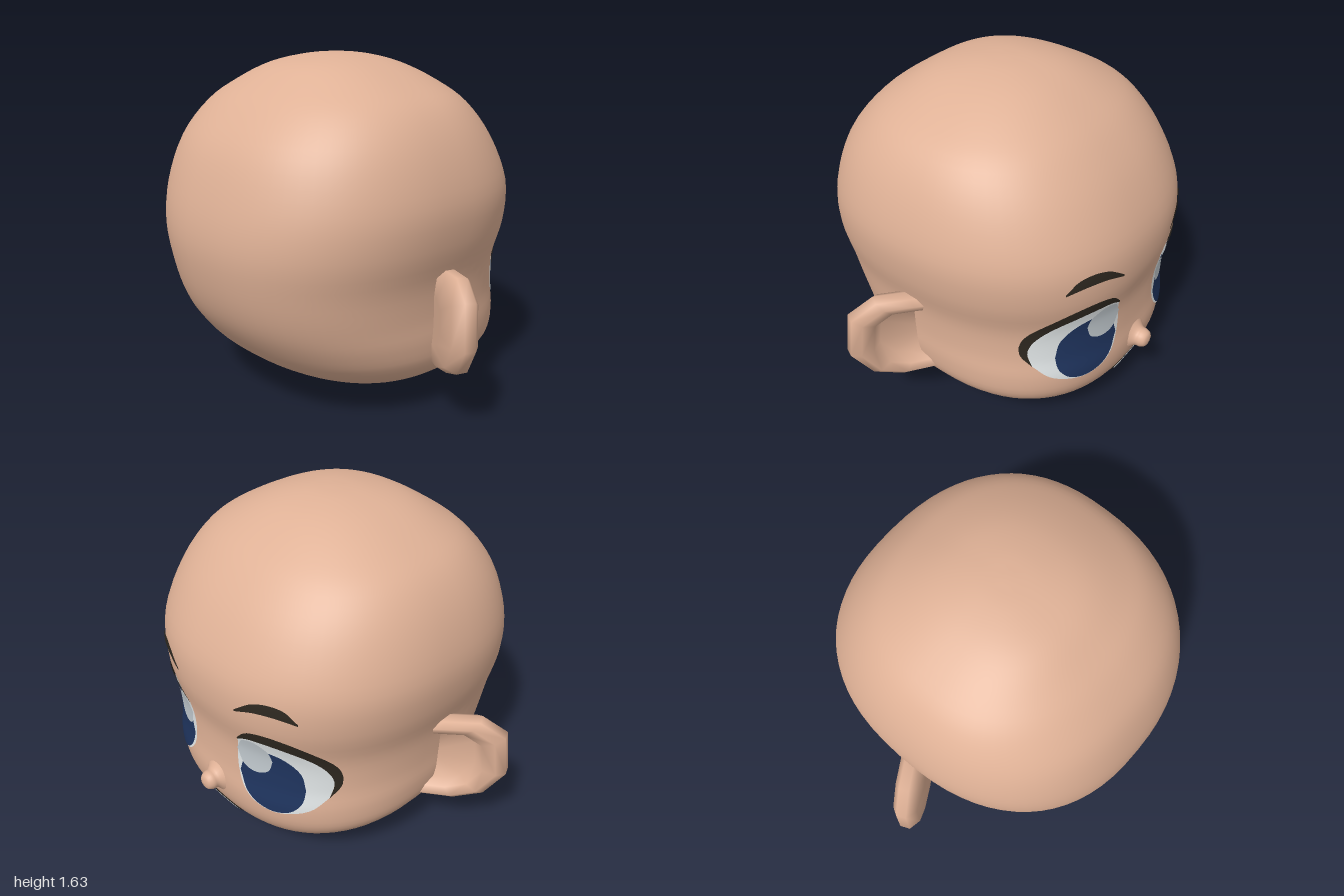
import * as THREE from 'three';
import { mergeVertices } from 'three/addons/utils/BufferGeometryUtils.js';

const V = (x, y, z = 0) => new THREE.Vector3(x, y, z);

// Head cross-sections from chin to crown: height, half width, face z, nape z
const SECTIONS = [
  [0, 0, -0.17, -0.17], [0.012, 0.17, -0.38, 0], [0.03, 0.28, -0.47, 0.12],
  [0.07, 0.44, -0.56, 0.26], [0.15, 0.58, -0.68, 0.43], [0.25, 0.675, -0.745, 0.58],
  [0.37, 0.7, -0.765, 0.69], [0.5, 0.7, -0.752, 0.77], [0.66, 0.715, -0.752, 0.82],
  [0.84, 0.76, -0.785, 0.84], [1.03, 0.77, -0.77, 0.81], [1.24, 0.71, -0.67, 0.73],
  [1.4, 0.61, -0.54, 0.6], [1.5, 0.47, -0.41, 0.47], [1.58, 0.3, -0.26, 0.33],
  [1.62, 0.14, -0.11, 0.16], [1.63, 0, 0.02, 0.02],
];
const POWER = 2.35; // squareness of the horizontal sections
const heightCurve = new THREE.CatmullRomCurve3(SECTIONS.map((s) => V(0, s[0])), false, 'catmullrom');
const sizeCurve = new THREE.CatmullRomCurve3(SECTIONS.map((s) => V(s[1], s[2], s[3])), false, 'catmullrom');

function section(t) {
  const p = sizeCurve.getPoint(t);
  return { y: heightCurve.getPoint(t).y, w: Math.max(p.x, 0), mid: (p.y + p.z) / 2, half: (p.z - p.y) / 2 };
}

// Point on the face side of the head, found by height
function facePoint(x, y) {
  let lo = 0, hi = 1;
  for (let i = 0; i < 24; i++) {
    const m = (lo + hi) / 2;
    if (heightCurve.getPoint(m).y < y) lo = m; else hi = m;
  }
  const s = section(lo);
  const k = Math.max(0, 1 - Math.pow(Math.abs(x) / s.w, POWER));
  return V(x, y, s.mid - s.half * Math.pow(k, 1 / POWER));
}

function liftedPoint(x, y, lift) {
  const e = 0.01, p = facePoint(x, y);
  const dx = facePoint(x + e, y).sub(facePoint(x - e, y));
  const dy = facePoint(x, y + e).sub(facePoint(x, y - e));
  return p.addScaledVector(dy.cross(dx).normalize(), lift);
}

// Smooth surface through rows of points
function loft(rows, closed = false) {
  const n = rows[0].length, index = [];
  for (let j = 0; j < rows.length - 1; j++) {
    for (let i = 0; i < (closed ? n : n - 1); i++) {
      const a = j * n + i, b = j * n + (i + 1) % n;
      index.push(a, a + n, b, b, a + n, b + n);
    }
  }
  let g = new THREE.BufferGeometry().setFromPoints(rows.flat());
  g.setIndex(index);
  g = mergeVertices(g, 1e-5);
  g.computeVertexNormals();
  return g;
}

function headGeometry() {
  const rows = [];
  const bend = (v) => Math.sign(v) * Math.pow(Math.abs(v), 2 / POWER);
  for (let j = 0; j <= 64; j++) {
    const s = section(j / 64), row = [];
    for (let i = 0; i < 72; i++) {
      const a = (i / 72) * Math.PI * 2;
      row.push(V(s.w * bend(Math.cos(a)), s.y, s.mid + s.half * bend(Math.sin(a))));
    }
    rows.push(row);
  }
  return loft(rows, true);
}

// Painted patch on the face between two outlines given as [x, y] points
function patch(upper, lower, lift, side = 1) {
  const curve = (pts) => new THREE.CatmullRomCurve3(pts.map(([x, y]) => V(x, y)));
  const a = curve(upper), b = curve(lower), rows = [];
  for (let j = 0; j <= 12; j++) {
    const row = [];
    for (let i = 0; i <= 32; i++) {
      const p = a.getPoint(i / 32).lerp(b.getPoint(i / 32), j / 12);
      row.push(liftedPoint(p.x * side, p.y, lift));
    }
    rows.push(row);
  }
  return loft(rows);
}

// Cupped ear: an outline repeated at several scales and depths
function earGeometry(side) {
  const outline = [[-0.06, 0.7], [0.08, 0.72], [0.24, 0.74], [0.36, 0.67], [0.385, 0.46],
    [0.29, 0.32], [0.15, 0.26], [-0.02, 0.25], [-0.06, 0.26]];
  const rings = [[0, -0.05], [0.5, -0.06], [0.88, -0.055], [1, -0.01], [0.98, 0.04],
    [0.86, 0.065], [0.7, 0.05], [0.6, 0], [0, -0.015]];
  return loft(rings.map(([k, w]) => outline.map(([ou, oy]) => {
    const u = ou * k, y = 0.48 + (oy - 0.48) * k;
    return V(side * (0.66 + u * 0.84 + w * 0.54), y, -0.01 + u * 0.54 - w * 0.84);
  })));
}

const LID = [[0.545, 0.46], [0.555, 0.55], [0.53, 0.63], [0.47, 0.7], [0.39, 0.738], [0.31, 0.748], [0.24, 0.74], [0.18, 0.71]];
const LASH = [[0.545, 0.46], [0.575, 0.53], [0.57, 0.63], [0.525, 0.715], [0.45, 0.78], [0.35, 0.805], [0.25, 0.785], [0.18, 0.72]];
const EYE_LOW = [[0.545, 0.46], [0.5, 0.395], [0.43, 0.36], [0.34, 0.348], [0.25, 0.38], [0.185, 0.45], [0.16, 0.57], [0.18, 0.71]];
const IRIS_TOP = [[0.47, 0.5], [0.45, 0.6], [0.39, 0.67], [0.32, 0.69], [0.25, 0.67], [0.2, 0.6], [0.175, 0.52]];
const IRIS_LOW = [[0.47, 0.5], [0.46, 0.42], [0.42, 0.37], [0.35, 0.353], [0.27, 0.377], [0.21, 0.43], [0.175, 0.52]];
const GLINT_TOP = [[0.345, 0.64], [0.33, 0.7], [0.275, 0.737], [0.21, 0.72], [0.168, 0.65]];
const GLINT_LOW = [[0.345, 0.64], [0.32, 0.575], [0.26, 0.55], [0.2, 0.57], [0.168, 0.65]];
const BROW_TOP = [[0.485, 0.915], [0.44, 0.965], [0.38, 0.98], [0.3, 0.965], [0.205, 0.9]];
const BROW_LOW = [[0.485, 0.905], [0.44, 0.918], [0.38, 0.926], [0.3, 0.92], [0.205, 0.89]];
const MOUTH_TOP = [[-0.145, 0.235], [-0.08, 0.215], [0, 0.205], [0.08, 0.215], [0.145, 0.235]];
const MOUTH_LOW = [[-0.145, 0.215], [-0.09, 0.17], [0, 0.148], [0.09, 0.17], [0.145, 0.215]];
const TEETH_TOP = [[-0.12, 0.22], [-0.07, 0.21], [0, 0.201], [0.07, 0.21], [0.12, 0.22]];
const TEETH_LOW = [[-0.12, 0.213], [-0.075, 0.18], [0, 0.162], [0.075, 0.18], [0.12, 0.213]];

export function createModel() {
  const group = new THREE.Group();
  const material = (name, color) => {
    const m = new THREE.MeshStandardMaterial({ color, side: THREE.DoubleSide });
    m.name = name;
    return m;
  };
  const skin = material('skin', 0xdfb196);
  const dark = material('dark brown', 0x2e2820);
  const white = material('eye white', 0xe6ebec);
  const navy = material('iris blue', 0x1f345e);
  const shine = material('highlight', 0xc3cbd0);
  const add = (name, geometry, mat) => {
    const mesh = new THREE.Mesh(geometry, mat);
    mesh.name = name;
    group.add(mesh);
    return mesh;
  };

  add('head', headGeometry(), skin);

  // Button nose flaring into the face
  const profile = new THREE.SplineCurve([[0.12, -0.02], [0.075, 0.01], [0.05, 0.035], [0.047, 0.06], [0.032, 0.083], [0, 0.09]]
    .map(([r, h]) => new THREE.Vector2(r, h)));
  const nose = add('nose', new THREE.LatheGeometry(profile.getPoints(16), 24), skin);
  nose.rotation.x = -Math.PI / 2;
  nose.position.set(0, 0.372, -0.75);

  // Smiling mouth
  add('mouth', patch(MOUTH_TOP, MOUTH_LOW, 0.004), dark);
  add('teeth', patch(TEETH_TOP, TEETH_LOW, 0.007), white);

  // Paired features
  for (const [side, label] of [[1, 'left'], [-1, 'right']]) {
    add(label + 'Ear', earGeometry(side), skin);
    add(label + 'EyeWhite', patch(LID, EYE_LOW, 0.004, side), white);
    add(label + 'Iris', patch(IRIS_TOP, IRIS_LOW, 0.0065, side), navy);
    add(label + 'Highlight', patch(GLINT_TOP, GLINT_LOW, 0.009, side), shine);
    add(label + 'Lash', patch(LASH, LID, 0.006, side), dark);
    add(label + 'Eyebrow', patch(BROW_TOP, BROW_LOW, 0.005, side), dark);
  }
  return group;
}
